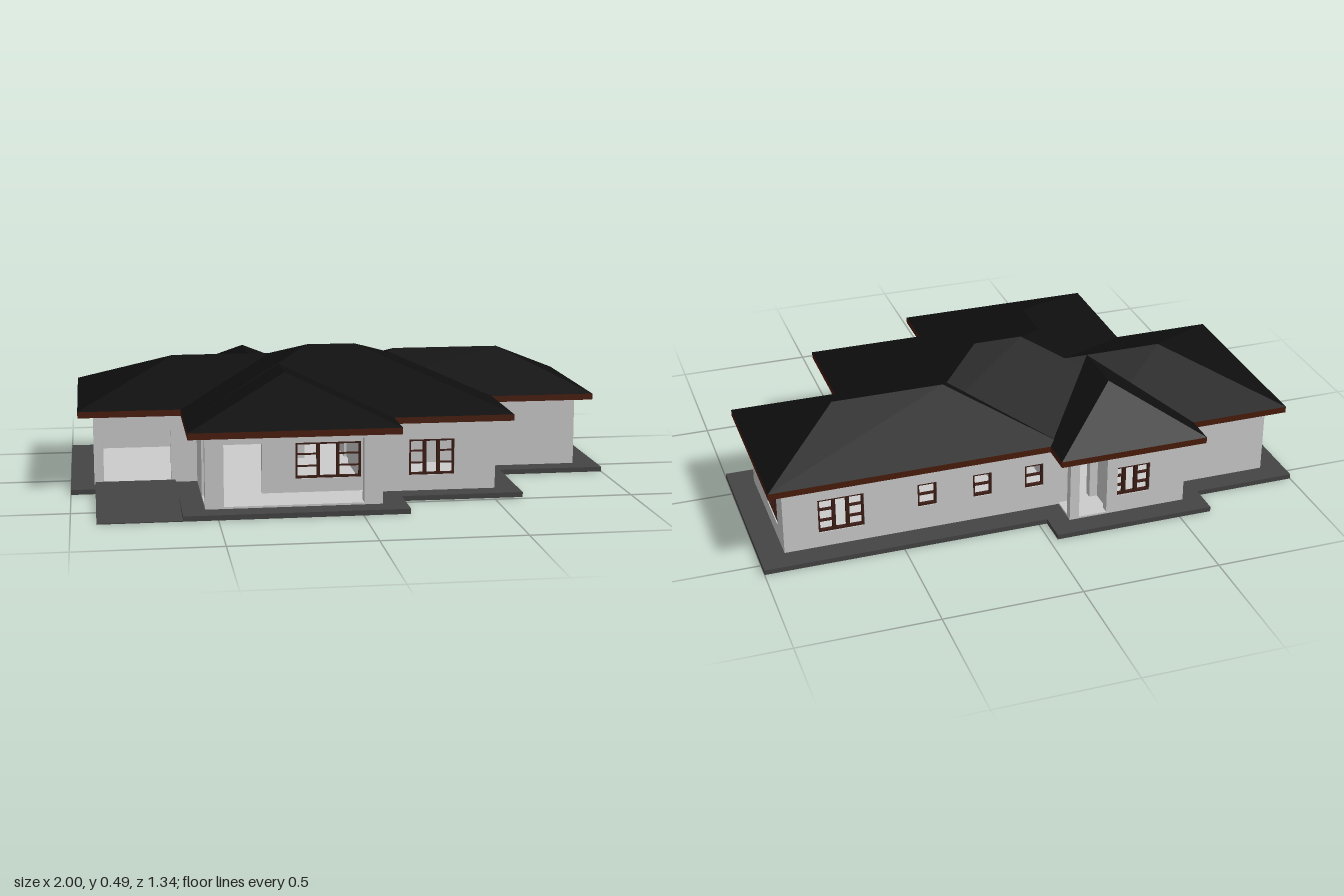
import * as THREE from 'three';

const paint = (color) => new THREE.MeshStandardMaterial({ color });
const wallMat = paint(0xcccccc);
const slabMat = paint(0x444444);
const roofMat = paint(0x0e0e0e);
const fasciaMat = paint(0x4a1c0c);
const frameMat = paint(0x3c1d15);
const WALL_TOP = 0.276, EAVE = 0.298, T = 0.03, FLOOR = 0.025;

// Plan outlines as [x, z] corners
const house = [[-0.915, -0.475], [-0.545, -0.475], [-0.545, -0.59], [-0.105, -0.59], [-0.105, -0.475],
  [0.91, -0.475], [0.91, 0.04], [0.52, 0.04], [0.52, 0.4], [0.08, 0.4], [0.08, 0.58], [-0.54, 0.58],
  [-0.54, 0.145], [-0.915, 0.145]];
const eaves = [[-0.97, -0.53], [-0.6, -0.53], [-0.6, -0.645], [-0.05, -0.645], [-0.05, -0.53],
  [0.965, -0.53], [0.965, 0.095], [0.575, 0.095], [0.575, 0.455], [0.14, 0.455], [0.14, 0.635], [-0.6, 0.635],
  [-0.6, 0.2], [-0.97, 0.2]];
const apron = [[-1, -0.555], [-0.62, -0.555], [-0.62, -0.67], [-0.03, -0.67], [-0.03, -0.56],
  [1, -0.56], [1, 0.12], [0.605, 0.12], [0.605, 0.48], [0.165, 0.48], [0.165, 0.665], [-0.62, 0.665],
  [-0.62, 0.225], [-1, 0.225]];

// Openings per outer wall: [from, to, bottom, top, kind], measured along x or z
const small = (c) => [c - 0.035, c + 0.035, 0.11, 0.2, 'small'];
const outerOpenings = {
  2: [[-0.41, -0.26, 0.085, 0.2, 'wide'], [-0.245, -0.14, FLOOR, 0.255, 'open']],
  3: [[-0.565, -0.475, FLOOR, 0.255, 'open']],
  4: [[0.62, 0.785, 0.075, 0.205, 'wide'], small(0.39), small(0.185), small(-0.01)],
  5: [[-0.38, -0.215, 0.075, 0.205, 'wide']],
  8: [[0.205, 0.37, 0.075, 0.205, 'wide']],
  9: [[0.402, 0.54, FLOOR, 0.255, 'open']],
  10: [[-0.475, 0.015, FLOOR, 0.255, 'open']],
  11: [[0.402, 0.54, FLOOR, 0.255, 'open']],
  12: [[-0.88, -0.635, FLOOR, 0.21, 'open']],
  13: [small(-0.39), small(-0.205), small(-0.01)],
};

// Inner walls: [start, end, openings]
const door = (a, b) => [a, b, FLOOR, 0.205, 'open'];
const innerWalls = [
  [[0.08, 0.4], [-0.54, 0.4], [[-0.205, 0.03, 0.075, 0.205, 'wide'], door(-0.475, -0.325)]],
  [[-0.255, -0.59], [-0.255, -0.475], []],
  [[-0.255, -0.475], [-0.105, -0.475], [door(-0.225, -0.15)]],
  [[-0.54, -0.475], [-0.54, 0.145], [door(-0.05, 0.05)]],
  [[0.52, -0.475], [0.52, 0.04], [door(-0.13, -0.04)]],
  [[0.08, -0.05], [0.08, 0.4], []],
  [[0.08, -0.05], [0.52, -0.05], [door(0.12, 0.2)]],
  [[0.06, -0.16], [0.52, -0.16], [door(0.12, 0.2), door(0.34, 0.42)]],
  [[0.29, -0.475], [0.29, -0.16], []],
  [[0.08, -0.475], [0.08, -0.16], []],
  [[-0.105, -0.475], [-0.105, -0.16], []],
];

const polygon = (pts, Kind = THREE.Shape) => new Kind(pts.map(([x, y]) => new THREE.Vector2(x, y)));
const rect = (a, b, c, d) => [[a, c], [b, c], [b, d], [a, d]];

function add(parent, name, geometry, material) {
  const mesh = new THREE.Mesh(geometry, material);
  mesh.name = name;
  parent.add(mesh);
  return mesh;
}

function box(parent, name, material, x0, x1, y0, y1, z0, z1) {
  const mesh = add(parent, name, new THREE.BoxGeometry(x1 - x0, y1 - y0, z1 - z0), material);
  mesh.position.set((x0 + x1) / 2, (y0 + y1) / 2, (z0 + z1) / 2);
  return mesh;
}

// Flat plate from a plan outline
function plate(pts, y0, y1, hole) {
  const flip = (list) => list.map(([x, z]) => [x, -z]);
  const shape = polygon(flip(pts));
  if (hole) shape.holes.push(polygon(flip(hole), THREE.Path));
  return new THREE.ExtrudeGeometry(shape, { depth: y1 - y0, bevelEnabled: false })
    .rotateX(-Math.PI / 2).translate(0, y0, 0);
}

// Window frame with mullions, in the wall's own plane
function windowFrame(parent, a, b, y0, y1, kind) {
  const g = new THREE.Group();
  g.name = 'windowFrame';
  parent.add(g);
  const w = 0.007, z0 = 0.004, z1 = 0.018, bar = 0.004;
  const piece = (x0, x1, c, d) => box(g, 'frameBar', frameMat, x0, x1, c, d, z0, z1);
  piece(a, a + w, y0, y1);
  piece(b - w, b, y0, y1);
  piece(a, b, y0, y0 + w);
  piece(a, b, y1 - w, y1);
  if (kind === 'small') {
    piece(a, b, (y0 + y1) / 2 - bar / 2, (y0 + y1) / 2 + bar / 2);
    return;
  }
  const m1 = a + (b - a) * 0.35, m2 = b - (b - a) * 0.35;
  for (const m of [m1, m2]) piece(m - 0.006, m + 0.006, y0, y1);
  for (const f of [1 / 3, 2 / 3]) {
    const y = y0 + (y1 - y0) * f;
    piece(a, m1, y - bar / 2, y + bar / 2);
    piece(m2, b, y - bar / 2, y + bar / 2);
  }
}

// Upright wall from p to q; its thickness lies to the inside
function wall(parent, name, p, q, openings = []) {
  const dx = Math.sign(q[0] - p[0]), dz = Math.sign(q[1] - p[1]);
  const length = Math.abs(q[0] - p[0] + q[1] - p[1]);
  const along = (v) => Math.abs(v - (dx ? p[0] : p[1]));
  const g = new THREE.Group();
  g.name = name;
  const shape = polygon(rect(0, length, 0.001, WALL_TOP));
  for (const [from, to, y0, y1, kind] of openings) {
    const [a, b] = [along(from), along(to)].sort((m, n) => m - n);
    shape.holes.push(polygon(rect(a, b, y0, y1), THREE.Path));
    if (kind !== 'open') windowFrame(g, a, b, y0, y1, kind);
  }
  add(g, 'wallPanel', new THREE.ExtrudeGeometry(shape, { depth: T, bevelEnabled: false }), wallMat);
  g.rotation.y = Math.atan2(-dz, dx);
  g.position.set(p[0], 0, p[1]);
  parent.add(g);
}

// Hip roof over a rectangle, with a ridge from r0 to r1 along one axis
function hip(x0, x1, z0, z1, axis, r0, r1, h) {
  const p = rect(x0, x1, z0, z1).map(([x, z]) => [x, EAVE, z]);
  const xm = (x0 + x1) / 2, zm = (z0 + z1) / 2;
  const A = axis === 'x' ? [r0, h, zm] : [xm, h, r0];
  const B = axis === 'x' ? [r1, h, zm] : [xm, h, r1];
  const faces = axis === 'x'
    ? [[p[3], p[2], B, A], [p[1], p[0], A, B], [p[0], p[3], A], [p[2], p[1], B]]
    : [[p[2], p[1], A, B], [p[0], p[3], B, A], [p[1], p[0], A], [p[3], p[2], B]];
  const pos = [];
  for (const f of faces) {
    for (let i = 1; i < f.length - 1; i++) pos.push(...f[0], ...f[i], ...f[i + 1]);
  }
  const geo = new THREE.BufferGeometry();
  geo.setAttribute('position', new THREE.Float32BufferAttribute(pos, 3));
  geo.computeVertexNormals();
  return geo;
}

export function createModel() {
  const model = new THREE.Group();
  model.name = 'bungalow';

  // Ground apron, floor and sloping driveway
  add(model, 'apron', plate(apron, 0, 0.018, house), slabMat);
  add(model, 'floor', plate(house, 0.006, FLOOR), wallMat);
  const ramp = box(model, 'driveway', slabMat, -0.912, -0.62, 0, 0.027, 0.147, 0.665);
  const rp = ramp.geometry.attributes.position;
  for (let i = 0; i < rp.count; i++) {
    if (rp.getY(i) > 0 && rp.getZ(i) > 0) rp.setY(i, -0.0105);
  }
  ramp.geometry.computeVertexNormals();

  // Walls with windows and openings
  house.forEach((p, i) => wall(model, 'outerWall', p, house[(i + 1) % house.length], outerOpenings[i]));
  innerWalls.forEach(([p, q, openings]) => wall(model, 'innerWall', p, q, openings));

  // Porch corner posts
  for (const [x0, x1] of [[-0.539, -0.475], [0.015, 0.079]]) {
    box(model, 'porchPost', wallMat, x0, x1, FLOOR, WALL_TOP, 0.54, 0.579);
  }

  // Fascia with dark soffit, then the overlapping hip roofs
  add(model, 'fascia', plate(eaves, 0.275, EAVE), [roofMat, fasciaMat]);
  add(model, 'mainRoof', hip(-0.6, 0.575, -0.53, 0.455, 'x', -0.11, 0.07, 0.49), roofMat);
  add(model, 'rightWingRoof', hip(-0.97, -0.2, -0.53, 0.2, 'x', -0.61, -0.2, 0.44), roofMat);
  add(model, 'leftWingRoof', hip(-0.1, 0.965, -0.53, 0.095, 'x', 0.25, 0.66, 0.44), roofMat);
  add(model, 'porchRoof', hip(-0.6, 0.14, 0, 0.635, 'z', 0, 0.28, 0.44), roofMat);
  add(model, 'backRoof', hip(-0.6, -0.05, -0.645, -0.165, 'z', -0.38, -0.165, 0.44), roofMat);
  return model;
}
